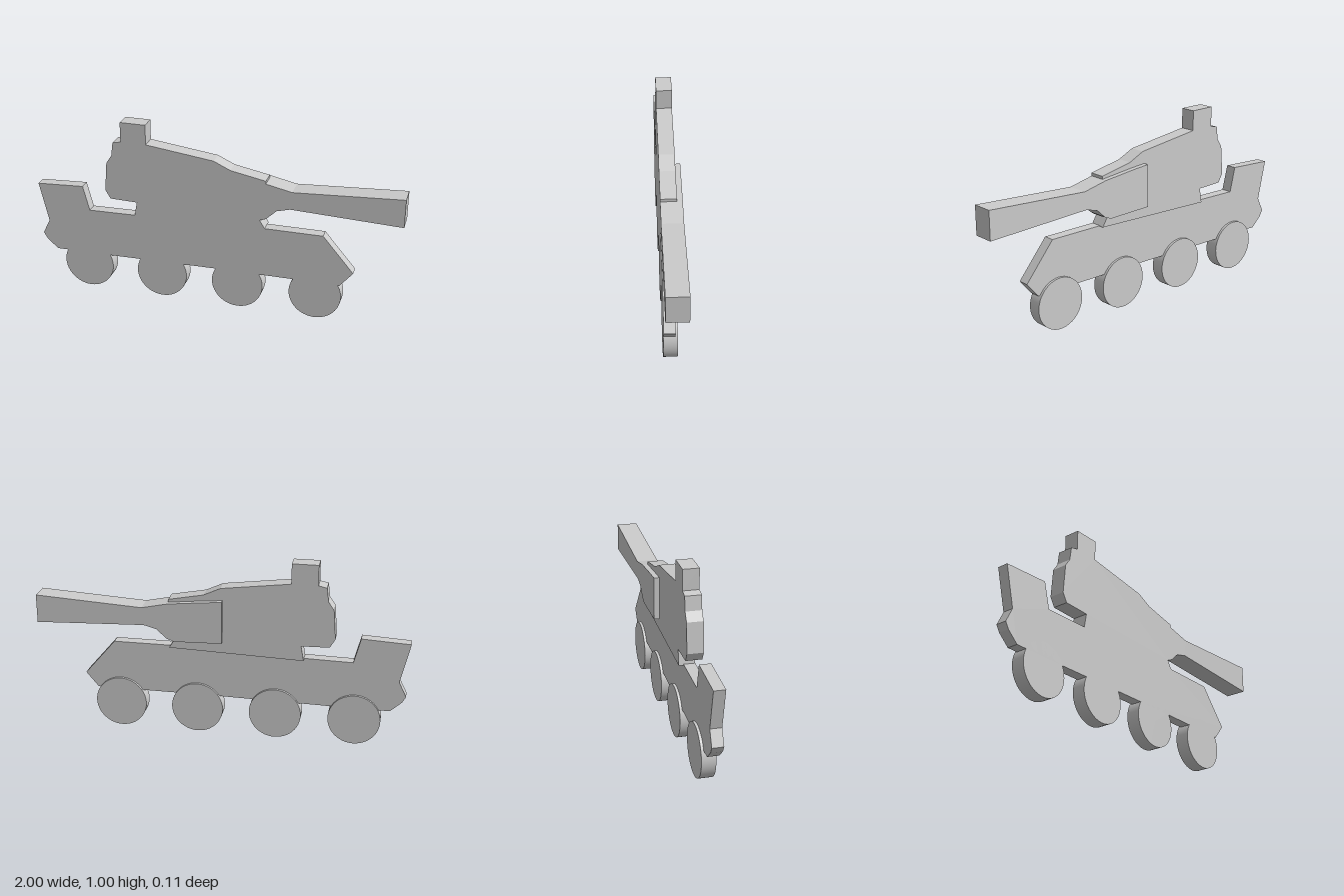
import * as THREE from 'three';

const FRONT = 0.057; // all plates share this front plane

const material = new THREE.MeshStandardMaterial({ color: 0xcccccc });

// Flat plate cut from an outline, running from the front plane back to z = back
function plate(name, outline, back) {
  const shape = new THREE.Shape(outline.map(([x, y]) => new THREE.Vector2(x, y)));
  const geometry = new THREE.ExtrudeGeometry(shape, { depth: FRONT - back, bevelEnabled: false });
  geometry.translate(0, 0, back);
  const mesh = new THREE.Mesh(geometry, material);
  mesh.name = name;
  return mesh;
}

// Solid disc wheel standing on the ground
function wheel(x) {
  const back = -0.017, radius = 0.141;
  const geometry = new THREE.CylinderGeometry(radius, radius, FRONT - back, 48);
  geometry.rotateX(Math.PI / 2);
  const mesh = new THREE.Mesh(geometry, material);
  mesh.position.set(x, radius + 0.002, (FRONT + back) / 2);
  mesh.name = 'wheel';
  return mesh;
}

export function createModel() {
  const model = new THREE.Group();
  model.name = 'wheeledGunVehicle';

  // Hull with raised rear and sloped nose
  model.add(plate('hull', [
    [-0.91, 0.205], [-0.59, 0.207], [0.0, 0.215], [0.69, 0.217], [0.757, 0.298],
    [0.59, 0.495], [0.28, 0.495], [-0.445, 0.475], [-0.705, 0.47], [-0.74, 0.608],
    [-1, 0.595], [-0.95, 0.375], [-0.99, 0.295], [-0.97, 0.26],
  ], -0.003));

  // Turret with hatch block and overhanging rear
  model.add(plate('turret', [
    [-0.445, 0.47], [0.28, 0.492], [0.25, 0.54], [0.28, 0.55], [0.28, 0.768],
    [0.09, 0.805], [0.0, 0.847], [-0.37, 0.895], [-0.37, 1.005], [-0.51, 1.005],
    [-0.51, 0.895], [-0.555, 0.885], [-0.565, 0.81], [-0.595, 0.765],
    [-0.608, 0.605], [-0.58, 0.557], [-0.43, 0.553],
  ], -0.028));

  // Gun: broad mount narrowing, then flaring to the muzzle
  model.add(plate('gun', [
    [-0.01, 0.547], [0.25, 0.54], [0.29, 0.558], [0.34, 0.605], [0.41, 0.624],
    [1, 0.6], [1, 0.755], [0.42, 0.722], [0.28, 0.752], [0.08, 0.773], [-0.01, 0.78],
  ], -0.057));

  // Four road wheels
  const wheels = new THREE.Group();
  wheels.name = 'wheels';
  for (let i = 0; i < 4; i++) wheels.add(wheel(-0.723 + i * 0.427));
  model.add(wheels);

  return model;
}
